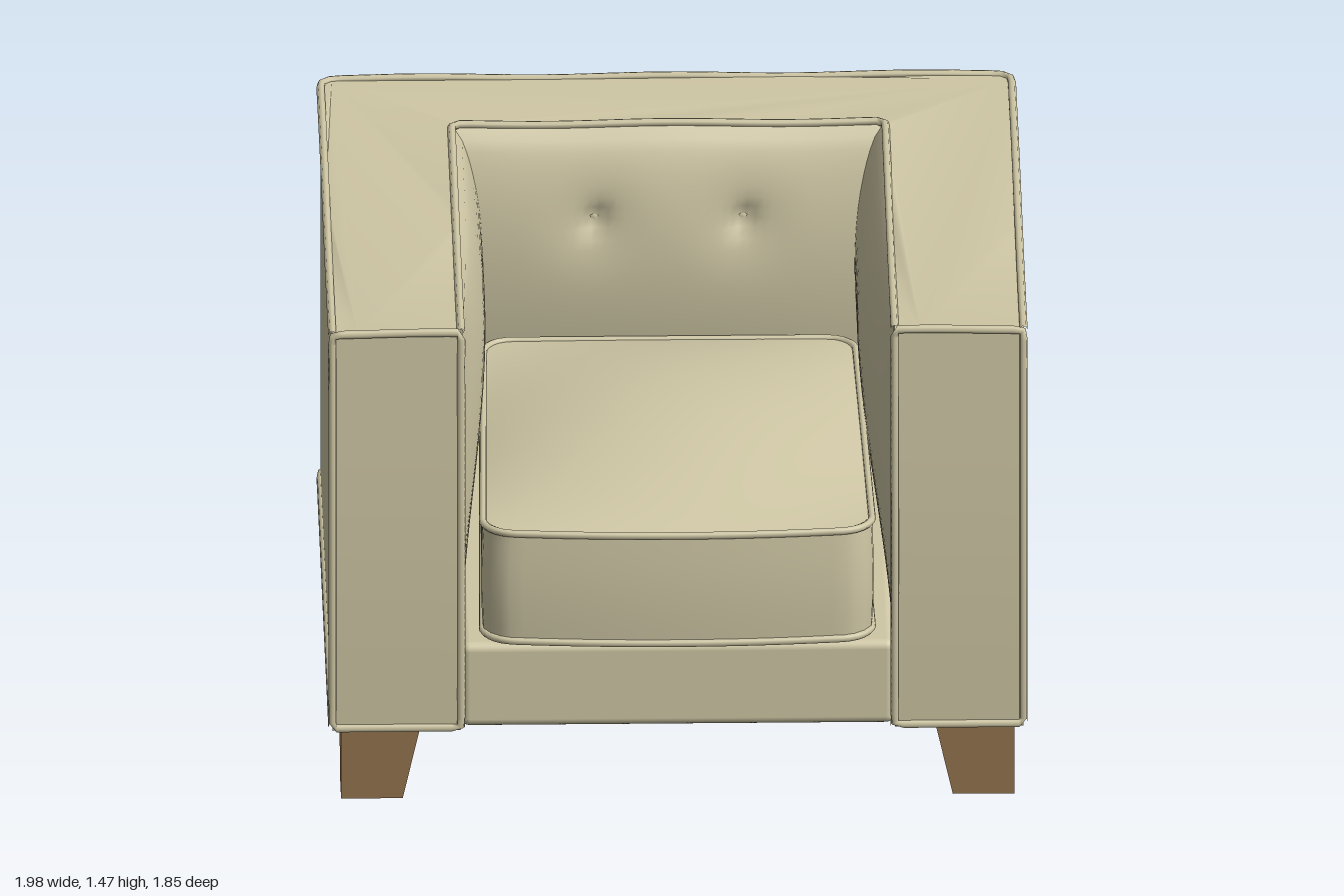
import * as THREE from 'three';
import { toCreasedNormals } from 'three/addons/utils/BufferGeometryUtils.js';
import { RoundedBoxGeometry } from 'three/addons/geometries/RoundedBoxGeometry.js';

const BOTTOM = 0.222, TOP = 1.45, FRONT = 0.88, BACK = -0.915, OUT = 0.98, IN = 0.615, WELL = -0.56;
const clamp = THREE.MathUtils.clamp;
const V = (x, y, z) => new THREE.Vector3(x, y, z);

// Soft, slightly uneven upholstery: wavy top edge and gently swollen arm fronts
function soften(p) {
  const high = clamp((p.y - 0.9) / 0.5, 0, 1);
  const fore = clamp((p.z - 0.7) / 0.15, 0, 1);
  p.y += high * (0.011 * Math.cos(3.9 * (p.z + 0.35)) + 0.003 * Math.cos(9 * p.x));
  p.z += fore * 0.012 * Math.sin(Math.PI * (p.y - BOTTOM) / 1.1);
  return p;
}

function moveVertices(geometry, rule) {
  const pos = geometry.attributes.position, p = V(0, 0, 0);
  for (let i = 0; i < pos.count; i++) {
    p.fromBufferAttribute(pos, i);
    const q = rule(p);
    pos.setXYZ(i, q.x, q.y, q.z);
  }
  geometry.computeVertexNormals();
  return geometry;
}

// Dense points along a polyline with rounded corners; each corner is [x, y, z, radius]
function trace(corners, closed) {
  const n = corners.length, knots = [];
  corners.forEach((c, i) => {
    const p = V(c[0], c[1], c[2]), r = c[3] || 0;
    if (!r || (!closed && (i === 0 || i === n - 1))) return knots.push(p);
    const a = V(...corners[(i + n - 1) % n].slice(0, 3)).sub(p).setLength(r).add(p);
    const b = V(...corners[(i + 1) % n].slice(0, 3)).sub(p).setLength(r).add(p);
    knots.push(...new THREE.QuadraticBezierCurve3(a, p, b).getPoints(5));
  });
  const out = [];
  knots.forEach((a, i) => {
    if (i === knots.length - 1 && !closed) return out.push(a);
    const b = knots[(i + 1) % knots.length];
    const steps = Math.max(1, Math.round(a.distanceTo(b) / 0.08));
    for (let k = 0; k < steps; k++) out.push(a.clone().lerp(b, k / steps));
  });
  return out;
}

// Cushion surface: u and w run -1..1 across and front to back, v runs 0..1 upward
function cushionPoint(u, v, w) {
  const hx = 0.54, hz = 0.665, r = 0.08;
  const cx = clamp(u * hx, r - hx, hx - r), cz = clamp(w * hz, r - hz, hz - r);
  const dx = (u * hx - cx) / r, dz = (w * hz - cz) / r;
  const swell = 1 + 0.01 * Math.sin(Math.PI * v);
  const x = (cx + r * dx * Math.sqrt(1 - dz * dz / 2)) * (1 + 0.025 * w) * swell;
  const z = (cz + r * dz * Math.sqrt(1 - dx * dx / 2)) * swell + 0.035 * (1 - u * u) * Math.max(0, w);
  return V(x, 0.495 + 0.34 * v + 0.1 * v * (1 - u * u) * (1 - w * w), z + 0.215);
}

export function createModel() {
  const group = new THREE.Group();
  const fabric = new THREE.MeshStandardMaterial({ color: 0xcfc7a5 });
  fabric.name = 'beige fabric';
  const wood = new THREE.MeshStandardMaterial({ color: 0x94734f });
  wood.name = 'brown wood';

  const add = (name, geometry, material = fabric) => {
    const mesh = new THREE.Mesh(geometry, material);
    mesh.name = name;
    group.add(mesh);
    return mesh;
  };
  const pipe = (name, points, closed = false, radius = 0.012) => {
    const curve = new THREE.CatmullRomCurve3(points, closed, 'centripetal');
    add(name, new THREE.TubeGeometry(curve, points.length * 2, radius, 7, closed));
  };

  // U-shaped shell: both arms and the back
  const plan = trace([
    [OUT, 0, FRONT], [OUT, 0, BACK, 0.05], [-OUT, 0, BACK, 0.05], [-OUT, 0, FRONT],
    [-IN, 0, FRONT], [-IN, 0, WELL, 0.03], [IN, 0, WELL, 0.03], [IN, 0, FRONT],
  ], true).map(p => new THREE.Vector2(p.x, -p.z));
  const shell = new THREE.ExtrudeGeometry(new THREE.Shape(plan), { depth: TOP - BOTTOM, steps: 14, bevelEnabled: false });
  shell.rotateX(-Math.PI / 2).translate(0, BOTTOM, 0);
  add('armsAndBack', toCreasedNormals(moveVertices(shell, soften), 0.6));

  // Base between the arms
  const base = new RoundedBoxGeometry(IN * 2, 0.258, 1.425, 3, 0.025);
  add('seatBase', base.translate(0, BOTTOM + 0.129, 0.155));

  // Padded inner faces
  const puff = v => Math.pow(Math.max(0, Math.sin(Math.PI * Math.pow(1 - v, 0.75))), 0.8);
  const panel = (name, n, rule) => add(name, moveVertices(new THREE.PlaneGeometry(1, 1, n, 32),
    p => soften(rule(p.x + 0.5, clamp(p.y + 0.5, 0, 1)))));
  for (const side of [1, -1]) {
    panel(side > 0 ? 'leftArmPadding' : 'rightArmPadding', 24, (u, v) => {
      const t = side > 0 ? 1 - u : u;
      const depth = 0.085 * Math.sin(Math.min(1, t * 1.4) * Math.PI / 2) * puff(v);
      return V(side * (IN - 0.003 - depth), 0.45 + 0.995 * v, 0.865 - 1.425 * t);
    });
  }
  const tuftX = 0.21, tuftY = 1.19;
  const backPoint = (x, y) => {
    const v = clamp((y - 0.45) / 0.995, 0, 1), u = x / IN;
    let z = WELL + 0.003 + 0.115 * (0.78 + 0.22 * (1 - u * u)) * puff(v);
    for (const s of [-tuftX, tuftX]) {
      const d = Math.hypot(x - s, y - tuftY);
      z -= 0.03 * Math.exp(-d * d / 0.0012) + 0.018 * Math.exp(-d * d / 0.012);
    }
    return V(x, y, z);
  };
  panel('backPadding', 50, (u, v) => backPoint((u - 0.5) * 2 * IN, 0.45 + 0.995 * v));

  // Tufting buttons
  for (const s of [-1, 1]) {
    const button = add('tuftButton', new THREE.SphereGeometry(0.016, 12, 8));
    button.position.copy(soften(backPoint(s * tuftX, tuftY)));
    button.scale.z = 0.5;
  }

  // Seat cushion and its piping
  const cushion = moveVertices(new THREE.BoxGeometry(2, 1, 2, 28, 8, 30),
    p => cushionPoint(p.x, p.y + 0.5, p.z));
  add('seatCushion', toCreasedNormals(cushion, 0.7));
  const square = trace([[-1, 0, -1], [1, 0, -1], [1, 0, 1], [-1, 0, 1]], true);
  for (const v of [0.02, 1]) pipe('cushionPiping', square.map(p => cushionPoint(p.x, v, p.z)), true, 0.011);

  // Piping around the top and bottom of the shell
  const edge = (name, corners, closed) => pipe(name, trace(corners, closed).map(soften), closed);
  const around = y => [[OUT, y, FRONT], [OUT, y, BACK, 0.05], [-OUT, y, BACK, 0.05], [-OUT, y, FRONT]];
  const inside = y => [[IN, y, FRONT], [IN, y, WELL, 0.03], [-IN, y, WELL, 0.03], [-IN, y, FRONT]];
  edge('topOuterPiping', around(TOP));
  edge('topInnerPiping', inside(TOP));
  edge('bottomOuterPiping', around(BOTTOM + 0.012));
  edge('bottomInnerPiping', inside(BOTTOM + 0.004));

  // Piping framing each arm front
  for (const s of [1, -1]) {
    const low = BOTTOM + 0.008;
    edge('armFrontPiping', [
      [s * OUT, low, FRONT, 0.012], [s * OUT, TOP, FRONT, 0.012],
      [s * IN, TOP, FRONT, 0.012], [s * IN, low, FRONT, 0.012],
    ], true);
  }

  // Tapered legs: outer faces upright, inner faces sloping
  for (const sx of [1, -1]) for (const sz of [1, -1]) {
    const outerZ = sz > 0 ? 0.855 : 0.88;
    const leg = moveVertices(new THREE.BoxGeometry(1, 1, 1), p => {
      const width = p.y > 0 ? 0.227 : 0.175;
      const x = p.x * sx > 0 ? 0.955 : 0.955 - width;
      const z = p.z * sz > 0 ? outerZ : outerZ - width;
      return V(sx * x, p.y > 0 ? 0.23 : 0, sz * z);
    });
    add(`${sz > 0 ? 'front' : 'back'}${sx > 0 ? 'Left' : 'Right'}Leg`, leg, wood);
  }
  return group;
}
